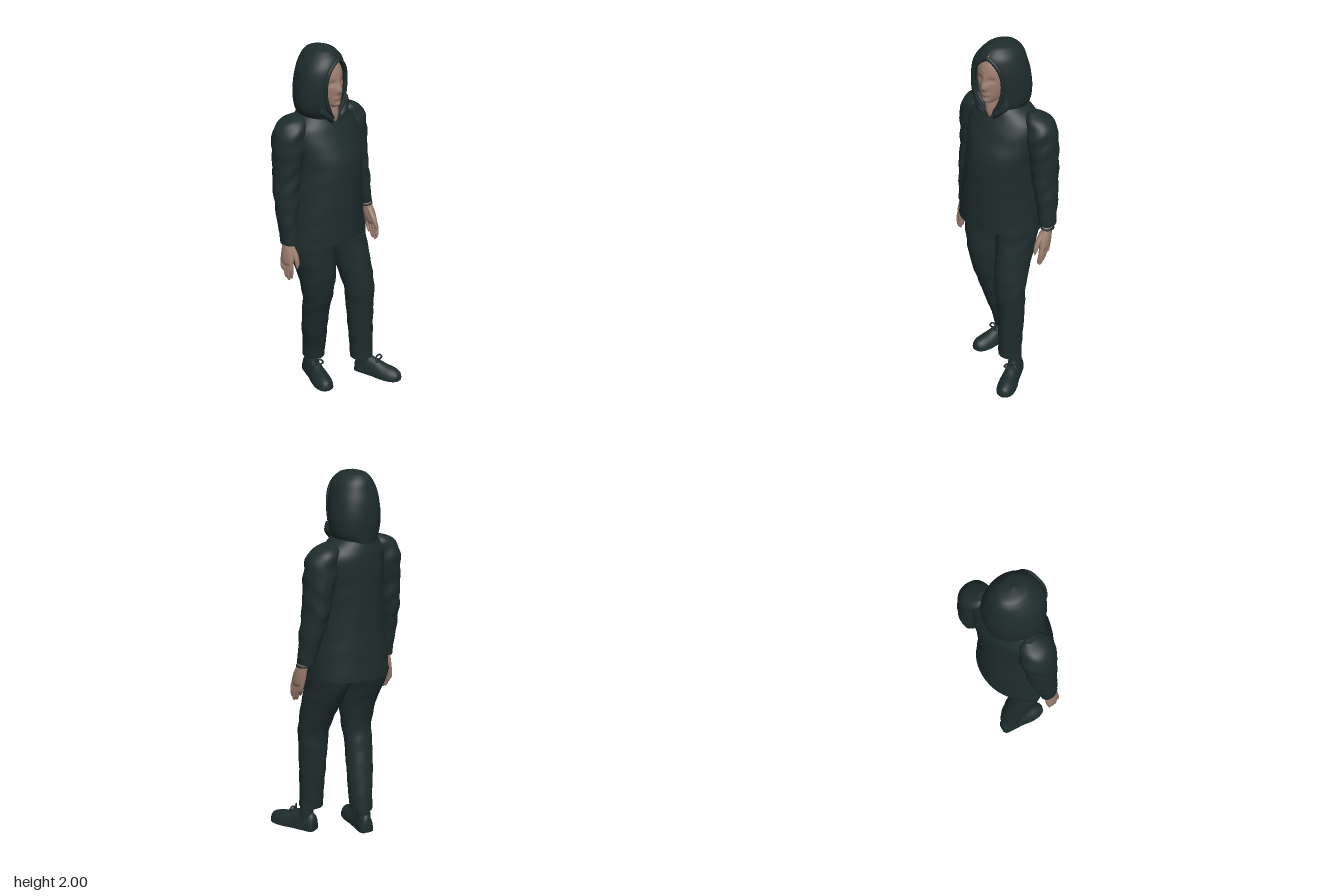
import * as THREE from 'three';

const cloth = new THREE.MeshStandardMaterial({ color: 0x1e2c2c, side: THREE.DoubleSide });
cloth.name = 'darkCloth';
const skin = new THREE.MeshStandardMaterial({ color: 0x9c7d6f });
skin.name = 'skin';

// Smooth interpolation of a list of rows at position t (0..1)
function sample(rows, t) {
  const f = t * (rows.length - 1);
  const i = Math.min(Math.floor(f), rows.length - 2);
  const u = f - i;
  const at = (k) => rows[Math.max(0, Math.min(rows.length - 1, k))];
  const [a, b, c, d] = [at(i - 1), at(i), at(i + 1), at(i + 2)];
  return b.map((_, k) => 0.5 * (2 * b[k] + (c[k] - a[k]) * u
    + (2 * a[k] - 5 * b[k] + 4 * c[k] - d[k]) * u * u
    + (3 * b[k] - a[k] - 3 * c[k] + d[k]) * u * u * u));
}

// Skin over oval rings [x, y, z, rx, rz, front gap half-width]
function loft(rings, { sides = 28, steps = 5, fold = 0, open = false, tweak = null } = {}) {
  const rows = rings[0][1] > rings[rings.length - 1][1] ? [...rings].reverse() : rings;
  const count = (rows.length - 1) * steps;
  const cols = open ? sides + 1 : sides;
  const pos = [], index = [];
  const p = new THREE.Vector3();
  for (let i = 0; i <= count; i++) {
    const [x, y, z, rx, rz, gap = 0] = sample(rows, i / count);
    const half = open ? Math.asin(Math.min(0.95, Math.max(0, gap) / rx)) : 0;
    for (let j = 0; j < cols; j++) {
      const a = half + (2 * Math.PI - 2 * half) * j / sides;
      const k = 1 + fold * Math.sin(y * 55 + 2 * Math.sin(a * 2 + x * 9)) * Math.sin(y * 11 + a);
      p.set(x + Math.sin(a) * Math.max(0.001, rx) * k, y, z + Math.cos(a) * Math.max(0.001, rz) * k);
      if (tweak) tweak(p);
      pos.push(p.x, p.y, p.z);
      if (i < count && j < sides) {
        const n = open ? j + 1 : (j + 1) % sides;
        const A = i * cols + j, B = i * cols + n;
        index.push(A, B, B + cols, A, B + cols, A + cols);
      }
    }
  }
  // Flat end caps with their own corners
  if (!open) for (const row of [0, count]) {
    const start = pos.length / 3;
    const ring = pos.slice(row * cols * 3, (row + 1) * cols * 3);
    const mid = [0, 1, 2].map((c) => ring.reduce((s, v, q) => s + (q % 3 === c ? v : 0), 0) / cols);
    pos.push(...ring, ...mid);
    for (let j = 0; j < cols; j++) {
      const A = start + j, B = start + (j + 1) % cols, C = start + cols;
      index.push(C, ...(row ? [A, B] : [B, A]));
    }
  }
  const g = new THREE.BufferGeometry();
  g.setAttribute('position', new THREE.Float32BufferAttribute(pos, 3));
  g.setIndex(index);
  g.computeVertexNormals();
  return g;
}

export function createModel() {
  const model = new THREE.Group();
  const add = (name, geometry, material, parent = model) => {
    const m = new THREE.Mesh(geometry, material);
    m.name = name;
    parent.add(m);
    return m;
  };
  const tube = (pts, r, closed = false) => new THREE.TubeGeometry(
    new THREE.CatmullRomCurve3(pts.map((q) => new THREE.Vector3(...q)), closed), 48, r, 8, closed);

  // Loose top, hem lower at the back
  add('shirt', loft([
    [-0.03, 0.945, -0.083, 0.24, 0.19], [-0.03, 1.1, -0.08, 0.222, 0.186],
    [-0.025, 1.25, -0.078, 0.204, 0.182], [-0.015, 1.4, -0.08, 0.195, 0.177],
    [-0.015, 1.5, -0.098, 0.205, 0.158], [-0.015, 1.58, -0.113, 0.2, 0.138],
    [-0.02, 1.63, -0.117, 0.16, 0.12], [-0.035, 1.68, -0.115, 0.1, 0.105],
  ], { sides: 48, fold: 0.008, tweak: (p) => {
    if (p.y < 1.1) p.y += (p.z + 0.08) * 0.14 * (1.1 - p.y) / 0.15;
  } }), cloth);

  // Sleeves
  add('rightSleeve', loft([
    [-0.17, 1.655, -0.14, 0.02, 0.03], [-0.195, 1.63, -0.143, 0.065, 0.07],
    [-0.215, 1.58, -0.145, 0.082, 0.09], [-0.225, 1.5, -0.145, 0.087, 0.095],
    [-0.24, 1.4, -0.145, 0.072, 0.085], [-0.25, 1.3, -0.145, 0.07, 0.078],
    [-0.262, 1.2, -0.135, 0.061, 0.07], [-0.27, 1.1, -0.125, 0.052, 0.06],
    [-0.275, 0.97, -0.11, 0.041, 0.05],
  ], { fold: 0.05 }), cloth);
  add('leftSleeve', loft([
    [0.15, 1.65, -0.12, 0.02, 0.03], [0.175, 1.62, -0.12, 0.065, 0.07],
    [0.2, 1.57, -0.118, 0.08, 0.085], [0.207, 1.5, -0.115, 0.082, 0.09],
    [0.225, 1.4, -0.115, 0.072, 0.085], [0.235, 1.3, -0.11, 0.066, 0.08],
    [0.255, 1.2, -0.1, 0.057, 0.07], [0.27, 1.1, -0.09, 0.048, 0.058],
    [0.28, 1.035, -0.08, 0.041, 0.05],
  ], { fold: 0.05 }), cloth);

  // Trousers
  add('rightTrouserLeg', loft([
    [-0.1, 1.02, -0.1, 0.13, 0.15], [-0.122, 0.9, -0.103, 0.124, 0.143],
    [-0.115, 0.75, -0.07, 0.104, 0.113], [-0.107, 0.6, -0.067, 0.088, 0.083],
    [-0.1, 0.5, -0.09, 0.08, 0.076], [-0.078, 0.35, -0.125, 0.076, 0.072],
    [-0.053, 0.2, -0.156, 0.064, 0.069], [-0.05, 0.125, -0.167, 0.061, 0.067],
  ], { fold: 0.025 }), cloth);
  add('leftTrouserLeg', loft([
    [0.08, 1.02, -0.07, 0.12, 0.14], [0.098, 0.9, -0.062, 0.103, 0.14],
    [0.11, 0.75, -0.01, 0.092, 0.115], [0.12, 0.6, 0.033, 0.086, 0.088],
    [0.125, 0.5, 0.035, 0.082, 0.08], [0.13, 0.35, 0.037, 0.074, 0.073],
    [0.132, 0.2, 0.044, 0.068, 0.067], [0.132, 0.13, 0.046, 0.068, 0.066],
  ], { fold: 0.025 }), cloth);

  // Shoes: cross-sections from heel to toe, flattened underneath
  const shoe = (name, x, z, turn) => {
    const g = new THREE.Group();
    g.name = name;
    const body = loft([
      [0, 0, 0, 0.022, 0.06], [0, 0.015, 0, 0.04, 0.095], [0, 0.07, 0, 0.045, 0.115],
      [0, 0.125, 0, 0.047, 0.1], [0, 0.185, 0, 0.055, 0.076], [0, 0.24, 0, 0.052, 0.063],
      [0, 0.278, 0, 0.034, 0.045], [0, 0.292, 0, 0.004, 0.012],
    ], { tweak: (p) => { p.z = Math.min(p.z, 0); } });
    body.rotateX(Math.PI / 2);
    add('shoeBody', body, cloth, g);
    add('ankle', new THREE.CylinderGeometry(0.036, 0.04, 0.12, 16).translate(0, 0.12, 0.06), cloth, g);
    for (const s of [-1, 1]) {
      add('laceLoop', tube([[0, 0.1, 0.13], [s * 0.02, 0.118, 0.14], [s * 0.035, 0.1, 0.15],
        [s * 0.015, 0.095, 0.15]], 0.005, true), cloth, g);
    }
    g.position.set(x, 0, z);
    g.rotation.y = turn;
    model.add(g);
  };
  shoe('leftShoe', 0.152, -0.012, 0.28);
  shoe('rightShoe', -0.033, -0.238, -0.35);

  // Hands: palm, four fingers and a thumb hanging from the wrist
  const hand = (name, side, x, y, z, dx, dz) => {
    const g = new THREE.Group();
    g.name = name;
    const at = (t, ox, oz, rx, rz) => [x + dx * t + ox, y - 0.25 * t, z + dz * t + oz, rx, rz];
    add('palm', loft([at(-0.2, 0, 0, 0.026, 0.03), at(0.1, 0, 0, 0.025, 0.03),
      at(0.35, 0, 0.002, 0.026, 0.042), at(0.55, 0, 0, 0.022, 0.044), at(0.64, 0, 0, 0.012, 0.03)],
    { sides: 18 }), skin, g);
    for (let i = 0; i < 4; i++) {
      const o = 0.031 - i * 0.021, end = [0.94, 1, 0.97, 0.86][i];
      add('finger', loft([at(0.5, 0, o, 0.013, 0.013), at(0.7, 0, o, 0.013, 0.012),
        at(end - 0.07, -side * 0.008, o * 0.85, 0.01, 0.01), at(end, -side * 0.014, o * 0.8, 0.002, 0.002)],
      { sides: 10 }), skin, g);
    }
    add('thumb', loft([at(0.22, -side * 0.008, 0.02, 0.016, 0.016), at(0.42, -side * 0.018, 0.044, 0.015, 0.016),
      at(0.6, -side * 0.022, 0.054, 0.011, 0.011), at(0.7, -side * 0.022, 0.054, 0.002, 0.002)],
    { sides: 10 }), skin, g);
    model.add(g);
  };
  hand('rightHand', -1, -0.277, 1.01, -0.115, -0.04, 0.02);
  hand('leftHand', 1, 0.285, 1.06, -0.075, 0.015, 0.07);
  const band = add('wristBand', new THREE.TorusGeometry(0.032, 0.006, 8, 24).rotateX(Math.PI / 2), cloth);
  band.position.set(0.286, 1.02, -0.067);

  // Head: sunken eyes, raised brow, nose and lips pushed into the oval
  const bump = (p, x, y, sx, sy) => Math.exp(-(((p.x + 0.045 - x) / sx) ** 2) - ((p.y - y) / sy) ** 2);
  add('head', loft([
    [-0.043, 1.695, -0.03, 0.012, 0.03], [-0.043, 1.71, -0.035, 0.04, 0.06],
    [-0.044, 1.75, -0.05, 0.068, 0.08], [-0.045, 1.82, -0.06, 0.086, 0.092],
    [-0.045, 1.89, -0.07, 0.082, 0.095], [-0.045, 1.945, -0.08, 0.05, 0.07],
    [-0.045, 1.965, -0.08, 0.005, 0.008],
  ], { sides: 48, steps: 8, tweak: (p) => {
    if (p.z < -0.04) return;
    p.z += 0.024 * bump(p, 0, 1.79, 0.014, 0.02) + 0.01 * bump(p, 0, 1.825, 0.01, 0.03)
      + 0.009 * bump(p, 0, 1.75, 0.024, 0.01) + 0.008 * bump(p, 0, 1.715, 0.025, 0.014)
      - 0.01 * (bump(p, 0.033, 1.83, 0.018, 0.012) + bump(p, -0.033, 1.83, 0.018, 0.012));
  } }), skin);
  add('neck', loft([
    [-0.035, 1.6, -0.03, 0.008, 0.03], [-0.037, 1.65, -0.033, 0.032, 0.047],
    [-0.04, 1.72, -0.05, 0.055, 0.055],
  ]), skin);

  // Hood with an almond-shaped opening
  const hood = [
    [-0.035, 1.64, -0.118, 0.115, 0.118, 0.02], [-0.038, 1.69, -0.112, 0.143, 0.13, 0.055],
    [-0.04, 1.76, -0.11, 0.15, 0.137, 0.078], [-0.04, 1.84, -0.103, 0.141, 0.138, 0.08],
    [-0.04, 1.9, -0.098, 0.125, 0.13, 0.058], [-0.035, 1.94, -0.098, 0.104, 0.118, 0.01],
    [-0.035, 1.967, -0.1, 0.08, 0.098, 0], [-0.035, 1.986, -0.1, 0.054, 0.068, 0],
    [-0.035, 1.998, -0.1, 0.001, 0.001, 0],
  ];
  const turn = (x) => -0.12 * (x + 0.04);
  add('hood', loft(hood, { sides: 44, open: true, tweak: (p) => { p.z += turn(p.x); } }), cloth);
  const edge = (s) => hood.slice(0, 6).map(([x, y, z, rx, rz, w]) =>
    [x + s * w, y, z + rz * Math.sqrt(1 - (w / rx) ** 2) + turn(x + s * w)]);
  add('hoodRim', tube([...edge(-1), ...edge(1).reverse()], 0.011), cloth);

  // Collar flaps beside the open neckline
  for (const s of [-1, 1]) {
    add('collarFlap', loft([
      [-0.035 + s * 0.028, 1.615, 0.004, 0.006, 0.01], [-0.035 + s * 0.05, 1.65, 0, 0.024, 0.022],
      [-0.035 + s * 0.075, 1.685, -0.01, 0.032, 0.022], [-0.035 + s * 0.09, 1.73, -0.015, 0.012, 0.015],
    ], { sides: 14 }), cloth);
  }
  return model;
}
